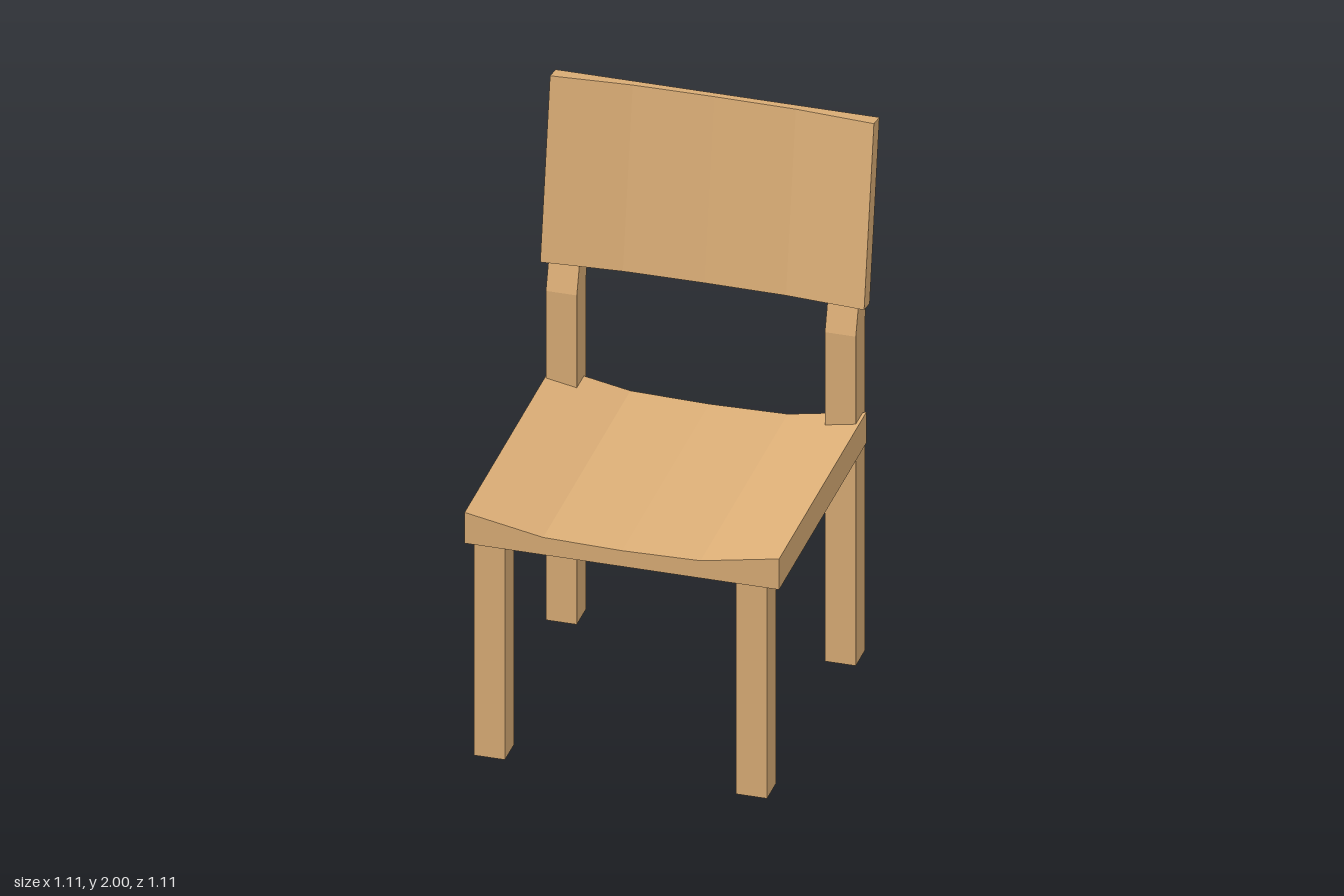
import * as THREE from 'three';

const wood = new THREE.MeshStandardMaterial({ color: 0xdeb078, flatShading: true });

function extrude(points, depth) {
  const shape = new THREE.Shape(points.map(([x, y]) => new THREE.Vector2(x, y)));
  return new THREE.ExtrudeGeometry(shape, { depth, bevelEnabled: false });
}

export function createModel() {
  const chair = new THREE.Group();
  chair.name = 'chair';
  const add = (name, geometry, x = 0, y = 0, z = 0) => {
    const mesh = new THREE.Mesh(geometry, wood);
    mesh.name = name;
    mesh.position.set(x, y, z);
    chair.add(mesh);
    return mesh;
  };

  // Seat: flat underneath, dished on top
  add('seat', extrude([
    [-0.54, 0.803], [0.54, 0.803], [0.54, 0.92],
    [0.27, 0.869], [0, 0.863], [-0.27, 0.869], [-0.54, 0.92],
  ], 1.01), 0, 0, -0.455);

  // Rear leg side outline as (z, y): upright, then leaning back
  const rearOutline = [
    [-0.478, 0], [-0.373, 0], [-0.373, 1.25],
    [-0.482, 1.6], [-0.553, 1.6], [-0.478, 1.245],
  ];
  const legWidth = 0.106;
  for (const [side, sign] of [['left', 1], ['right', -1]]) {
    add(side + 'FrontLeg', new THREE.BoxGeometry(legWidth, 0.803, legWidth),
      sign * 0.45 - 0.006, 0.4015, 0.497);
    const rear = extrude(rearOutline, legWidth)
      .rotateY(-Math.PI / 2).translate(legWidth / 2, 0, 0);
    add(side + 'RearLeg', rear, sign * 0.479 - 0.004);
  }

  // Backrest: flat behind, hollowed in front, tilted back
  const rest = extrude([
    [-0.556, 0], [-0.28, 0.027], [0, 0.031], [0.28, 0.027],
    [0.556, 0], [0.556, 0.065], [-0.556, 0.065],
  ], 0.655).rotateX(-Math.PI / 2);
  add('backrest', rest, 0, 1.355, -0.375).rotation.x = -0.174;

  return chair;
}
